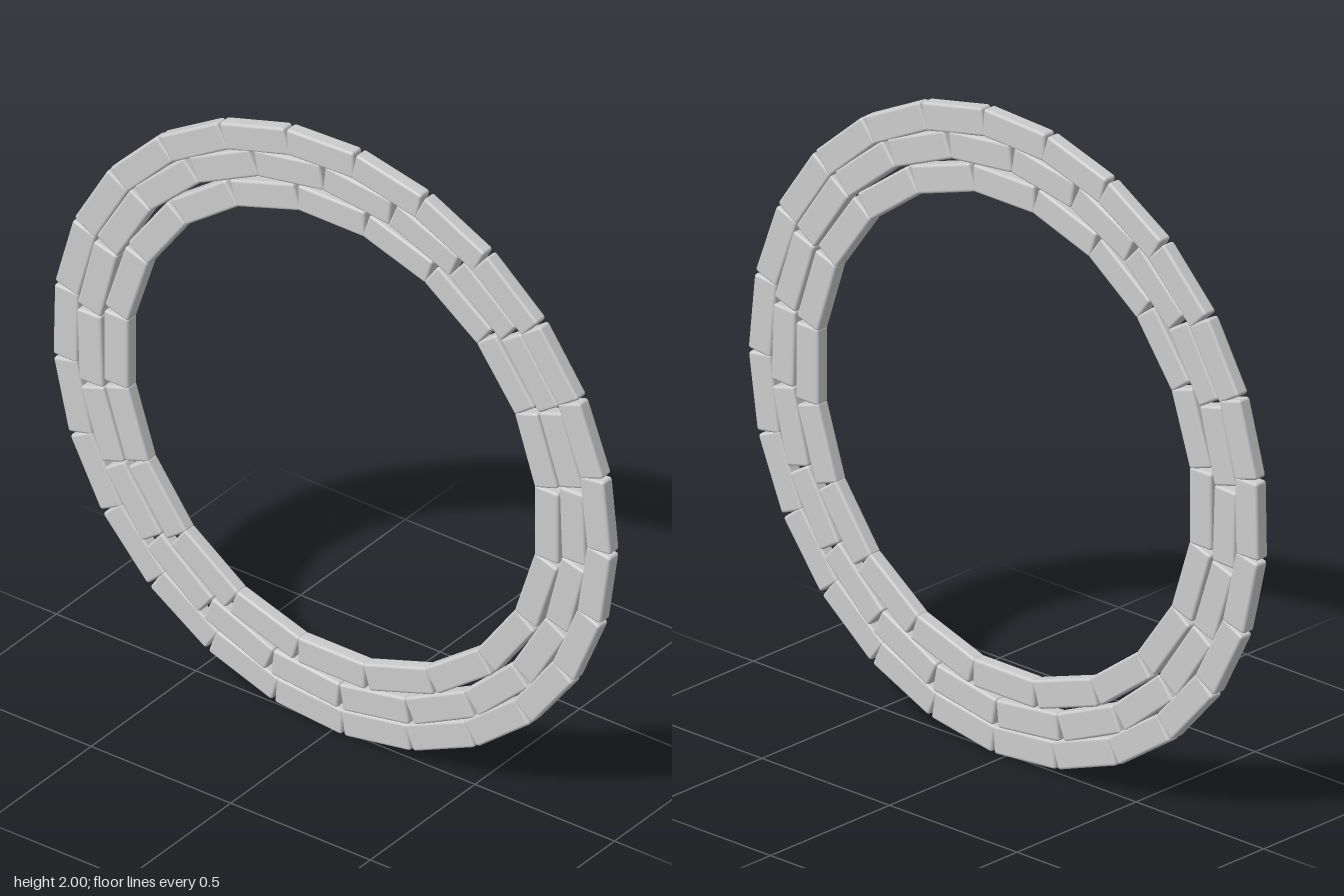
import * as THREE from 'three';
import { RoundedBoxGeometry } from 'three/addons/geometries/RoundedBoxGeometry.js';

// Three concentric courses of equal bricks, standing upright in the YZ plane
const COURSES = [
  { name: 'innerCourse', count: 20, radius: 0.771, startDeg: 90 },
  { name: 'middleCourse', count: 22, radius: 0.865, startDeg: 100.2 },
  { name: 'outerCourse', count: 25, radius: 0.951, startDeg: 6 },
];

export function createModel() {
  const model = new THREE.Group();
  model.name = 'brickRing';
  const material = new THREE.MeshStandardMaterial({ color: 0xcccccc });
  // thickness (x), radial height (y), tangential length (z)
  const brickGeometry = new RoundedBoxGeometry(0.046, 0.087, 0.24, 2, 0.009);

  for (const { name, count, radius, startDeg } of COURSES) {
    const course = new THREE.Group();
    course.name = name;
    course.position.y = 1;
    for (let i = 0; i < count; i++) {
      // angle runs from +z towards +y
      const a = THREE.MathUtils.degToRad(startDeg) + (i / count) * Math.PI * 2;
      const brick = new THREE.Mesh(brickGeometry, material);
      brick.name = 'brick';
      brick.position.set(0, radius * Math.sin(a), radius * Math.cos(a));
      brick.rotation.x = Math.PI / 2 - a;
      course.add(brick);
    }
    model.add(course);
  }
  return model;
}
